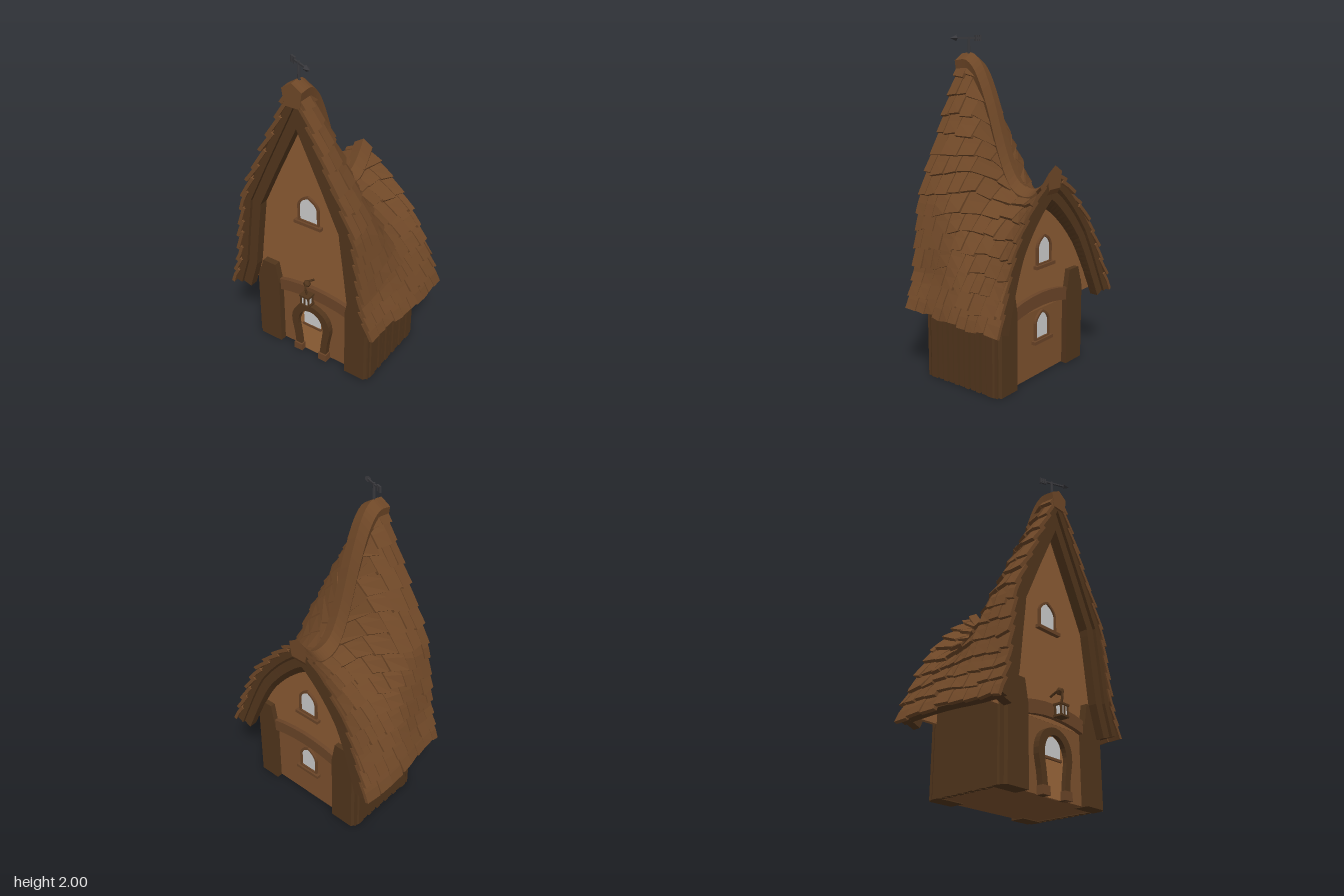
import * as THREE from 'three';
import { mergeGeometries } from 'three/addons/utils/BufferGeometryUtils.js';

const mat = (color) => new THREE.MeshStandardMaterial({ color, flatShading: true, side: THREE.DoubleSide });
const M = {
  roof: mat(0x6e4727), timber: mat(0x51351c), wall: mat(0x8a5a33), lowerWall: mat(0x7c502d), beam: mat(0x6a4427),
  door: mat(0x9a663a), metal: mat(0x38383c), glass: mat(0xcccccc),
};

// small seeded random
let seed = 7;
const rnd = () => (seed = (seed * 16807) % 2147483647) / 2147483647;

// ridge height along z, and half cross-sections (x, relative height) from ridge to eave
const ridgeCurve = new THREE.CubicInterpolant(
  [-0.34, -0.28, -0.22, -0.15, -0.06, 0, 0.05, 0.12, 0.2, 0.27, 0.37],
  [1.24, 1.15, 1.09, 1.075, 1.12, 1.225, 1.36, 1.58, 1.765, 1.84, 1.84], 1);
const steps = [0, 1 / 6, 2 / 6, 3 / 6, 4 / 6, 5 / 6, 1];
const steep = new THREE.LinearInterpolant(steps,
  [0, 1, 0.125, 0.82, 0.25, 0.64, 0.37, 0.46, 0.4, 0.3, 0.43, 0.13, 0.487, 0], 2);
const wide = new THREE.CubicInterpolant(steps,
  [0, 1, 0.12, 0.9, 0.24, 0.75, 0.345, 0.57, 0.425, 0.38, 0.49, 0.19, 0.543, 0], 2);
const EAVE = 0.43;
const ridge = (z) => ridgeCurve.evaluate(z)[0];
const steepness = (z) => Math.min(1, Math.max(0, (ridge(z) - 1.07) / 0.77));
const slopeLength = (z) => 0.9 + 0.63 * steepness(z);

function section(a, z) {
  const w = steepness(z), f = [...steep.evaluate(a)], b = [...wide.evaluate(a)];
  const x = f[0] * w + b[0] * (1 - w), h = f[1] * w + b[1] * (1 - w);
  return [x, EAVE + (ridge(z) - EAVE) * h];
}

// point on the roof: t runs -1 (right eave) .. 0 (ridge) .. 1 (left eave), off is outward
function roofPoint(t, z, off) {
  const a = Math.min(1, Math.abs(t));
  const frame = (q) => {
    const p = section(Math.max(0, q - 0.02), z), r = section(Math.min(1, q + 0.02), z);
    const dx = r[0] - p[0], dy = r[1] - p[1], l = Math.hypot(dx, dy);
    return [-dy / l, dx / l];
  };
  const n = frame(a), p = section(a, z);
  let x = p[0] + off * n[0], y = p[1] + off * n[1];
  if (a < 1e-4 || x < 0) { x = 0; y = ridge(z) + off / frame(0)[1]; }
  const zz = z < 0 ? z * (1 + 0.13 * a * a) : z;
  return new THREE.Vector3(0.005 + x * Math.sign(t), y, zz);
}

// box whose vertices are moved by a rule
function mapBox(nx, ny, nz, rule) {
  const g = new THREE.BoxGeometry(1, 1, 1, nx, ny, nz), p = g.attributes.position;
  for (let i = 0; i < p.count; i++) {
    const v = rule(p.getX(i), p.getY(i), p.getZ(i));
    p.setXYZ(i, v.x, v.y, v.z);
  }
  g.computeVertexNormals();
  return g;
}
const roofSlab = (z0, z1, inner, outer, nz) => mapBox(48, 1, nz, (x, y, z) =>
  roofPoint(Math.abs(x) < 1e-6 ? 0 : x * 2, z0 + (z + 0.5) * (z1 - z0), y > 0 ? outer : inner));

function add(parent, name, geometry, material, x = 0, y = 0, z = 0) {
  const m = new THREE.Mesh(geometry, material);
  m.name = name;
  m.position.set(x, y, z);
  parent.add(m);
  return m;
}
const box = (w, h, d) => new THREE.BoxGeometry(w, h, d);
const shapeOf = (pts) => new THREE.Shape(pts.map(([x, y]) => new THREE.Vector2(x, y)));
const extrude = (shape, depth) => new THREE.ExtrudeGeometry(shape, { depth, bevelEnabled: false, curveSegments: 6 });

function arch(w, h, y0 = 0) {
  const s = new THREE.Shape(), r = w / 2;
  s.moveTo(-r, y0).lineTo(r, y0).lineTo(r, y0 + h * 0.6);
  s.quadraticCurveTo(r * 0.9, y0 + h * 0.85, 0, y0 + h);
  s.quadraticCurveTo(-r * 0.9, y0 + h * 0.85, -r, y0 + h * 0.6);
  return s;
}

// arched window with frame, pane and sill, facing +z
function makeWindow(name, w, h) {
  const g = new THREE.Group();
  g.name = name;
  const frame = arch(w, h);
  frame.holes.push(arch(w - 0.025, h - 0.025, 0.01));
  add(g, 'windowFrame', extrude(frame, 0.025), M.beam, 0, 0, -0.01);
  add(g, 'windowPane', extrude(arch(w - 0.02, h - 0.02, 0.008), 0.01), M.glass, 0, 0, -0.005);
  add(g, 'windowSill', box(w + 0.04, 0.02, 0.04), M.beam, 0, -0.008, 0.008);
  return g;
}

// arched cross beam spanning the wall between the posts
function crossBeam() {
  const s = new THREE.Shape();
  s.moveTo(-0.22, 0.41).quadraticCurveTo(0.04, 0.48, 0.31, 0.41);
  s.lineTo(0.31, 0.49).quadraticCurveTo(0.04, 0.56, -0.22, 0.49);
  return extrude(s, 0.03);
}

function addShingles(group) {
  const parts = [], step = 0.112;
  for (const side of [-1, 1]) for (let row = 0; row < 14; row++) {
    let z = 0.365;
    while (z > -0.32) {
      const w = Math.min(0.055 + rnd() * 0.045, z + 0.335);
      const zA = z - w + 0.004, zB = z, low = row * step - 0.01 - rnd() * 0.025, lift = 0.022 + rnd() * 0.012;
      const tilt = (rnd() - 0.5) * 0.018;
      z -= w;
      if (low + 0.05 > slopeLength((zA + zB) / 2)) continue;
      parts.push(mapBox(2, 1, 1, (x, y, c) => {
        const down = x * side + 0.5, zz = c > 0 ? zB : zA;
        const s = low + (1 - down) * step * 1.35 + tilt * Math.sign(c) * down;
        const a = Math.max(0.004, 1 - s / slopeLength(zz));
        const p = roofPoint(side * a, zz, (y > 0 ? 0.022 : 0) + lift * down - 0.008);
        if (a === 0.004) p.y -= 0.01;
        // lowest course hangs slightly past the eave
        if (s < 0) p.y += s * 0.9;
        return p;
      }));
    }
  }
  add(group, 'shingles', mergeGeometries(parts), M.roof);
}

function addDoor(group) {
  const g = new THREE.Group();
  g.name = 'door';
  g.position.set(0.03, 0, 0.236);
  add(g, 'doorPanel', extrude(arch(0.19, 0.36), 0.014), M.door);
  const half = (pts) => [...pts, ...pts.slice(0, -1).reverse().map(([x, y]) => [-x, y])];
  const smooth = (pts) => new THREE.SplineCurve(half(pts).map(([x, y]) => new THREE.Vector2(x, y))).getPoints(28);
  const outer = smooth([[-0.11, 0], [-0.122, 0.12], [-0.142, 0.25], [-0.1, 0.345], [0, 0.385]]);
  const inner = smooth([[-0.065, 0], [-0.078, 0.12], [-0.092, 0.24], [-0.062, 0.315], [0, 0.342]]);
  add(g, 'doorFrame', extrude(new THREE.Shape([...outer, ...inner.reverse()]), 0.04), M.timber);
  for (const s of [-1, 1]) add(g, 'frameFoot', box(0.06, 0.05, 0.05), M.beam, s * 0.092, 0.025, 0.025);
  add(g, 'doorWindow', extrude(arch(0.125, 0.12), 0.008), M.glass, 0, 0.22, 0.01);
  add(g, 'doorWindowSill', box(0.14, 0.014, 0.02), M.beam, 0, 0.213, 0.016);
  group.add(g);
}

function addLantern(group) {
  const g = new THREE.Group();
  g.name = 'lantern';
  g.position.set(0.037, 0.475, 0.315);
  for (const y of [-0.033, 0.033]) add(g, 'lanternCap', box(0.07, 0.012, 0.06), M.timber, 0, y, 0);
  add(g, 'lanternGlass', box(0.046, 0.058, 0.042), M.glass);
  for (const x of [-0.027, 0, 0.027]) for (const z of [-0.021, 0.021])
    add(g, 'lanternBar', box(0.01, 0.06, 0.01), M.timber, x, 0, z);
  const path = new THREE.CatmullRomCurve3([[0, 0.035, 0], [0, 0.1, 0.01], [0, 0.12, -0.02], [0, 0.1, -0.075]]
    .map((p) => new THREE.Vector3(...p)));
  add(g, 'lanternHook', new THREE.TubeGeometry(path, 10, 0.007, 6), M.timber);
  add(g, 'hookKnob', new THREE.IcosahedronGeometry(0.025, 0), M.timber, 0, 0.115, -0.005);
  group.add(g);
}

function addWeatherVane(group) {
  const g = new THREE.Group();
  g.name = 'weatherVane';
  g.position.set(0.012, 1.98, 0.307);
  g.rotation.y = -0.44;
  add(g, 'vanePole', new THREE.CylinderGeometry(0.008, 0.01, 0.13, 8), M.metal, 0, -0.055, 0);
  add(g, 'vaneArrow', box(0.17, 0.01, 0.01), M.metal, 0.01, 0, 0);
  add(g, 'arrowHead', new THREE.ConeGeometry(0.019, 0.04, 4), M.metal, 0.1, 0, 0).rotation.z = -Math.PI / 2;
  for (const x of [-0.075, -0.06, -0.045]) add(g, 'arrowTail', box(0.011, 0.036, 0.012), M.metal, x, 0, 0);
  group.add(g);
}

export function createModel() {
  seed = 7;
  const house = new THREE.Group();
  house.name = 'cottage';

  // lower body and gable walls
  add(house, 'lowerWalls', box(0.77, 0.53, 0.486), M.lowerWall, 0.035, 0.27, -0.004);
  for (const [name, z, z0] of [['frontGable', 0.24, 0.215], ['backGable', -0.25, -0.25]]) {
    const pts = [];
    for (let i = -12; i <= 12; i++) {
      const p = roofPoint(i / 12, z, -0.035);
      pts.push([p.x, p.y]);
    }
    add(house, name, extrude(shapeOf(pts), 0.025), M.wall, 0, 0, z0);
  }

  // corner posts: a broad face with a chamfered outer corner
  for (const [edge, d, w] of [[-0.385, 1, 0.185], [0.455, -1, 0.165]]) for (const f of [1, -1])
    add(house, 'cornerPost', mapBox(2, 3, 1, (x, y, z) => {
      const u = x + 0.5, level = Math.round((y + 0.5) * 3);
      const across = u === 0 ? 0 : u === 0.5 ? 0.026 : w;
      const outerTop = 0.47 + 0.13 * (u > 0);
      const height = [0, 0.25, 0.47, outerTop][level];
      const lean = level === 3 ? (u === 1 ? -0.025 : u === 0.5 ? 0.04 : 0.02) : 0;
      const depth = z < 0 ? 0.19 : u === 0 ? 0.235 : 0.283;
      return new THREE.Vector3(edge + d * (across + lean), height, f * depth);
    }), M.timber);

  // vertical side planks
  for (const x of [-0.366, 0.436]) for (let i = 0; i < 13; i++)
    add(house, 'sidePlank', box(0.026 + 0.01 * (i % 2), 0.5, 0.03), M.timber, x, 0.25, -0.25 + i * 0.0417);

  add(house, 'frontBeam', crossBeam(), M.beam, 0, 0, 0.238);
  add(house, 'backBeam', crossBeam(), M.beam, 0, 0, -0.276);

  // roof deck, barge boards, shingles and ridge cap
  add(house, 'roofDeck', roofSlab(-0.325, 0.355, -0.04, 0.004, 28), M.timber);
  add(house, 'frontBargeBoard', roofSlab(0.28, 0.335, -0.1, -0.01, 1), M.timber);
  add(house, 'backBargeBoard', roofSlab(-0.31, -0.26, -0.095, -0.01, 1), M.timber);
  addShingles(house);
  add(house, 'ridgeCap', mapBox(2, 1, 36, (x, y, z) => {
    const zz = 0.018 + z * 0.7, top = y > 0;
    return new THREE.Vector3(0.007 + x * (top ? 0.13 : 0.1),
      ridge(zz) + (top ? 0.05 - Math.abs(x) * 0.08 : -0.085), zz);
  }), M.roof);

  // windows, door and fittings
  const place = (w, x, y, z, turn = 0) => { w.position.set(x, y, z); w.rotation.y = turn; house.add(w); };
  place(makeWindow('frontWindow', 0.15, 0.18), 0.012, 0.98, 0.24);
  place(makeWindow('backUpperWindow', 0.14, 0.18), 0.01, 0.69, -0.25, Math.PI);
  place(makeWindow('backLowerWindow', 0.14, 0.18), 0.02, 0.23, -0.247, Math.PI);
  addDoor(house);
  addLantern(house);
  addWeatherVane(house);
  return house;
}
